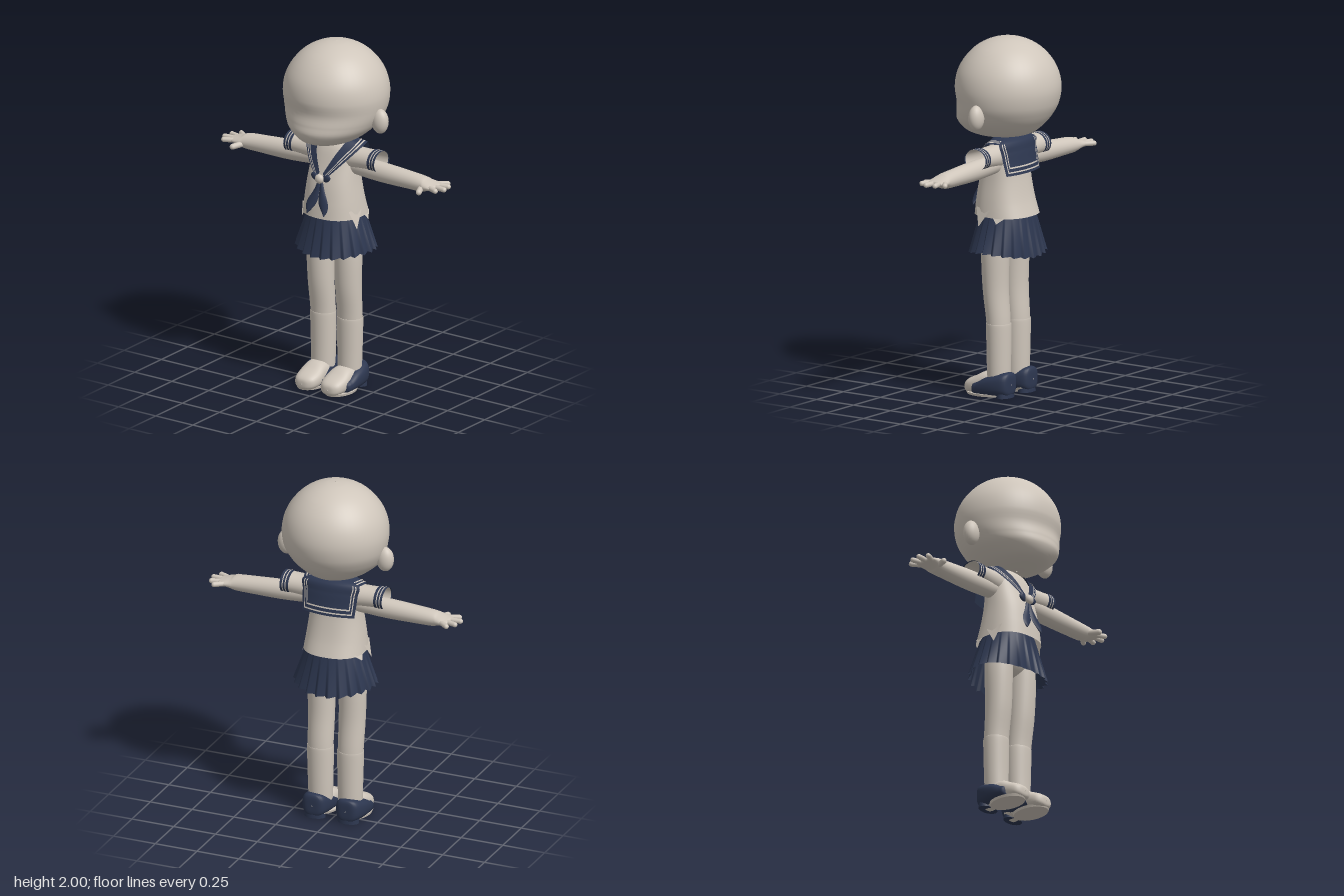
import * as THREE from 'three';
import { ParametricGeometry } from 'three/addons/geometries/ParametricGeometry.js';

const material = (name, color) =>
  Object.assign(new THREE.MeshStandardMaterial({ color, side: THREE.DoubleSide }), { name });

// Catmull-Rom blend of equally long rows of numbers
function spline(rows, v) {
  const n = rows.length - 1, s = Math.min(Math.max(v, 0) * n, n - 1e-9), i = Math.floor(s), f = s - i;
  const [a, b, c, d] = [-1, 0, 1, 2].map(k => rows[Math.min(Math.max(i + k, 0), n)]);
  return a.map((_, k) => b[k] + 0.5 * f * (c[k] - a[k] + f * (2 * a[k] - 5 * b[k] + 4 * c[k] - d[k]
    + f * (3 * (b[k] - c[k]) + d[k] - a[k]))));
}

// Rounded cross-sections [position, centreA, centreB, radiusA, radiusB] along an axis.
// Axis y: A = x, B = z.  Axis x: A = y, B = z.  Axis z: A = x, B = y.
function loft(rows, { axis = 'y', nu = 32, nv = 24, p = 2 } = {}) {
  const pow = t => Math.sign(t) * Math.abs(t) ** (2 / p);
  const g = new ParametricGeometry((u, v, out) => {
    const [t, a, b, ra, rb] = spline(rows, v), w = u * Math.PI * 2;
    out.set((axis === 'x' ? -a : a) + ra * pow(Math.cos(w)), t, (axis === 'z' ? -b : b) - rb * pow(Math.sin(w)));
  }, nu, nv);
  if (axis === 'x') g.rotateZ(-Math.PI / 2);
  if (axis === 'z') g.rotateX(Math.PI / 2);
  return g;
}

// Rows given as [y, half width, front z, back z]
const body = rows => rows.map(([y, w, f, b]) => [y, 0, (f + b) / 2, w, (f - b) / 2]);

// Part of a surface f(u, v) -> [x, y, z], shifted by an offset
const patch = (f, [u0, u1], [v0, v1], nu, nv, dy = 0, dz = 0) => new ParametricGeometry((u, v, out) => {
  const [x, y, z] = f(u0 + (u1 - u0) * u, v0 + (v1 - v0) * v);
  out.set(x, y + dy, z + dz);
}, nu, nv);

function mirrored(geometry) {
  const g = geometry.clone().scale(-1, 1, 1), ix = g.index.array;
  for (let i = 0; i < ix.length; i += 3) [ix[i], ix[i + 1]] = [ix[i + 1], ix[i]];
  return g;
}

function capsule(a, b, r) {
  const A = new THREE.Vector3(...a), B = new THREE.Vector3(...b), d = B.clone().sub(A);
  const g = new THREE.CapsuleGeometry(r, d.length(), 6, 12);
  g.applyQuaternion(new THREE.Quaternion().setFromUnitVectors(new THREE.Vector3(0, 1, 0), d.normalize()));
  const m = A.add(B).multiplyScalar(0.5);
  return g.translate(m.x, m.y, m.z);
}

export function createModel() {
  const model = new THREE.Group();
  model.name = 'figure';
  const clay = material('clay beige', 0xcfc6bb), navy = material('navy cloth', 0x2d3750);
  const add = (name, g, mat = clay) => {
    const m = new THREE.Mesh(g, mat);
    m.name = name;
    model.add(m);
  };
  const both = (name, g, mat = clay) => {
    add(name + 'Left', g, mat);
    add(name + 'Right', mirrored(g), mat);
  };

  // Head, ears and neck
  add('head', loft(body([
    [1.437, 0.003, 0.07, 0.06], [1.441, 0.07, 0.15, -0.02], [1.455, 0.125, 0.22, -0.1], [1.48, 0.175, 0.264, -0.16],
    [1.53, 0.235, 0.291, -0.215], [1.58, 0.268, 0.286, -0.252], [1.64, 0.289, 0.277, -0.28],
    [1.72, 0.297, 0.289, -0.293], [1.8, 0.282, 0.278, -0.28], [1.87, 0.246, 0.243, -0.246],
    [1.93, 0.192, 0.19, -0.192], [1.97, 0.13, 0.129, -0.13], [1.993, 0.064, 0.063, -0.064], [2, 0.002, 0.002, -0.002],
  ]), { nu: 48, nv: 52 }));
  both('ear', new THREE.SphereGeometry(1, 24, 16).scale(0.05, 0.071, 0.042).translate(0.295, 1.59, 0));
  add('neck', new THREE.CylinderGeometry(0.045, 0.05, 0.12, 20).translate(0, 1.42, -0.01));

  // Shirt with loose flaps at the side slits
  add('shirt', loft(body([
    [1.01, 0.174, 0.17, -0.16], [1.1, 0.163, 0.16, -0.132], [1.2, 0.15, 0.143, -0.112], [1.3, 0.14, 0.112, -0.1],
    [1.38, 0.13, 0.085, -0.09], [1.42, 0.11, 0.063, -0.078], [1.45, 0.05, 0.03, -0.045],
  ]), { nu: 48, p: 2.4 }));
  for (const c of [[0.155, 1.06, 0.1, 0.17, 1.05, 0, 0.186, 0.955, 0.065], [0.168, 1.03, -0.01, 0.15, 1.02, -0.1, 0.18, 0.98, -0.05]]) {
    const g = new THREE.BufferGeometry();
    g.setAttribute('position', new THREE.Float32BufferAttribute(c, 3));
    g.setIndex([0, 2, 1]);
    g.computeVertexNormals();
    both('hemFlap', g);
  }

  // Sleeves with striped cuffs
  both('sleeve', loft([[0.09, 1.345, 0, 0.068, 0.068], [0.2, 1.35, 0, 0.06, 0.067], [0.3, 1.355, 0, 0.059, 0.07]],
    { axis: 'x', nv: 8 }));
  const bands = [0.255, 0.27, 0.276, 0.287, 0.293, 0.306];
  for (let i = 0; i < 5; i++) {
    both('cuffBand', loft([bands[i], bands[i + 1]].map(x => [x, 1.355, 0, 0.061, 0.072]),
      { axis: 'x', nv: 1 }), i % 2 ? clay : navy);
  }

  // Arms and hands
  both('arm', loft([
    [0.1, 1.305, 0, 0.05, 0.05], [0.3, 1.298, 0.002, 0.056, 0.054], [0.5, 1.292, 0.002, 0.049, 0.053],
    [0.59, 1.289, 0.003, 0.043, 0.055], [0.62, 1.289, 0.004, 0.032, 0.06], [0.66, 1.289, 0, 0.02, 0.062],
    [0.685, 1.289, 0, 0.013, 0.05], [0.69, 1.289, 0, 0.002, 0.002],
  ], { axis: 'x', nu: 24, nv: 32 }));
  for (const [x0, z0, x1, z1] of [[0.65, -0.045, 0.695, -0.078], [0.66, -0.018, 0.728, -0.036],
    [0.66, 0.012, 0.738, 0.018], [0.65, 0.038, 0.712, 0.064]]) {
    both('finger', capsule([x0, 1.289, z0], [x1, 1.289, z1], 0.0145));
  }
  both('thumb', capsule([0.6, 1.28, 0.04], [0.627, 1.275, 0.1], 0.0165));

  // Sailor collar: front lapels and back flap, each with thin stripes
  const curve = pts => new THREE.CatmullRomCurve3(pts.map(q => new THREE.Vector3(...q)));
  const inner = curve([[0.07, 1.456, -0.035], [0.095, 1.452, 0.02], [0.062, 1.37, 0.098], [0.012, 1.268, 0.142]]);
  const outer = curve([[0.165, 1.425, -0.065], [0.182, 1.418, 0.015], [0.115, 1.33, 0.104], [0.028, 1.235, 0.155]]);
  const lapel = (u, v) => inner.getPoint(u).lerp(outer.getPoint(u), v).toArray();
  both('lapel', patch(lapel, [0, 1], [0, 1], 24, 4), navy);
  both('lapelStripe', patch(lapel, [0, 1], [0.62, 0.7], 24, 1, 0.003, 0.003));
  both('lapelStripe', patch(lapel, [0, 1], [0.8, 0.88], 24, 1, 0.003, 0.003));
  const flapRows = [[0.072, 1.456, -0.03], [0.167, 1.425, -0.088], [0.164, 1.37, -0.104], [0.16, 1.31, -0.116], [0.156, 1.25, -0.132]];
  const flap = (u, v) => {
    const [w, y, z] = spline(flapRows, v), s = 2 * u - 1;
    return [w * s, y, z + 0.028 * s * s];
  };
  add('collarBack', patch(flap, [0, 1], [0, 1], 20, 16), navy);
  for (const [e, v] of [[0.045, 0.92], [0.09, 0.83]]) {
    add('collarBackStripe', patch(flap, [e, 1 - e], [v - 0.03, v], 20, 1, 0, -0.004));
    both('collarSideStripe', patch(flap, [1 - e - 0.018, 1 - e], [0.25, v], 1, 12, 0, -0.004));
  }

  // Neckerchief: knot and two leaf-shaped tails
  add('knot', new THREE.SphereGeometry(1, 20, 14).scale(0.027, 0.027, 0.02).translate(0, 1.238, 0.16));
  const tailRows = [[0.008, 1.225, 0.158, 0.008], [0.018, 1.17, 0.167, 0.018], [0.036, 1.11, 0.183, 0.032],
    [0.05, 1.07, 0.194, 0.022], [0.055, 1.04, 0.202, 0.001]];
  both('neckerchiefTail', patch((u, v) => {
    const [x, y, z, w] = spline(tailRows, v), s = 1 - 2 * u;
    return [x - s * w, y, z - 0.008 * s * s];
  }, [1, 0], [1, 0], 8, 16), navy);
  both('neckerchiefLoop', new THREE.SphereGeometry(1, 16, 10).scale(0.028, 0.02, 0.01)
    .rotateZ(0.5).translate(0.038, 1.243, 0.147), navy);

  // Pleated skirt over the hips
  add('skirt', new ParametricGeometry((u, v, out) => {
    const w = u * Math.PI * 2, k = (u * 22) % 1, drop = 1 - v;
    const pleat = 1 - 0.085 * drop * (k < 0.75 ? k / 0.75 : (1 - k) / 0.25);
    const hem = 0.785 + 0.028 * Math.cos(w) ** 2 + (1 - pleat) * 0.08;
    out.set((0.158 + 0.082 * drop) * pleat * Math.cos(w), hem + (1.035 - hem) * v,
      -(0.143 + 0.06 * drop) * pleat * Math.sin(w));
  }, 176, 8), navy);
  add('hips', new THREE.SphereGeometry(1, 28, 18).scale(0.15, 0.12, 0.1).translate(0, 0.93, 0.005));

  // Legs and socks
  both('leg', loft([
    [0.95, 0.085, 0.012, 0.07, 0.08], [0.8, 0.093, 0.017, 0.077, 0.079], [0.6, 0.092, 0.015, 0.075, 0.071],
    [0.4, 0.09, -0.003, 0.072, 0.064], [0.2, 0.089, -0.004, 0.066, 0.06], [0.06, 0.089, 0, 0.062, 0.058],
  ].reverse()));
  both('sock', loft([
    [0.06, 0.089, -0.002, 0.066, 0.063], [0.2, 0.089, -0.004, 0.071, 0.065], [0.395, 0.09, -0.004, 0.075, 0.068],
    [0.4, 0.09, -0.004, 0.071, 0.063],
  ]));

  // Feet with shoe shells around the heel and sides
  both('foot', loft([
    [-0.085, 0.095, 0.03, 0.003, 0.003], [-0.07, 0.095, 0.045, 0.055, 0.044], [0, 0.092, 0.065, 0.066, 0.064],
    [0.07, 0.088, 0.067, 0.07, 0.067], [0.13, 0.086, 0.053, 0.074, 0.053], [0.18, 0.086, 0.042, 0.062, 0.041],
    [0.203, 0.087, 0.037, 0.035, 0.026], [0.208, 0.087, 0.037, 0.002, 0.002],
  ], { axis: 'z', p: 2.5 }));
  both('shoeShell', loft([
    [-0.099, 0.1, 0.075, 0.003, 0.003], [-0.096, 0.1, 0.076, 0.042, 0.052], [-0.075, 0.1, 0.076, 0.066, 0.066],
    [-0.02, 0.101, 0.07, 0.08, 0.062], [0.04, 0.101, 0.06, 0.084, 0.053], [0.09, 0.098, 0.046, 0.083, 0.04],
    [0.125, 0.092, 0.04, 0.075, 0.033], [0.13, 0.09, 0.04, 0.01, 0.01],
  ], { axis: 'z', p: 2.8 }), navy);
  both('shoeHeel', new THREE.CylinderGeometry(0.06, 0.062, 0.035, 24).scale(1, 1, 0.65).translate(0.1, 0.0185, -0.056), navy);
  both('sole', new THREE.CylinderGeometry(0.078, 0.074, 0.014, 28).scale(1, 1, 1.5).translate(0.094, 0.007, 0.085));

  return model;
}
